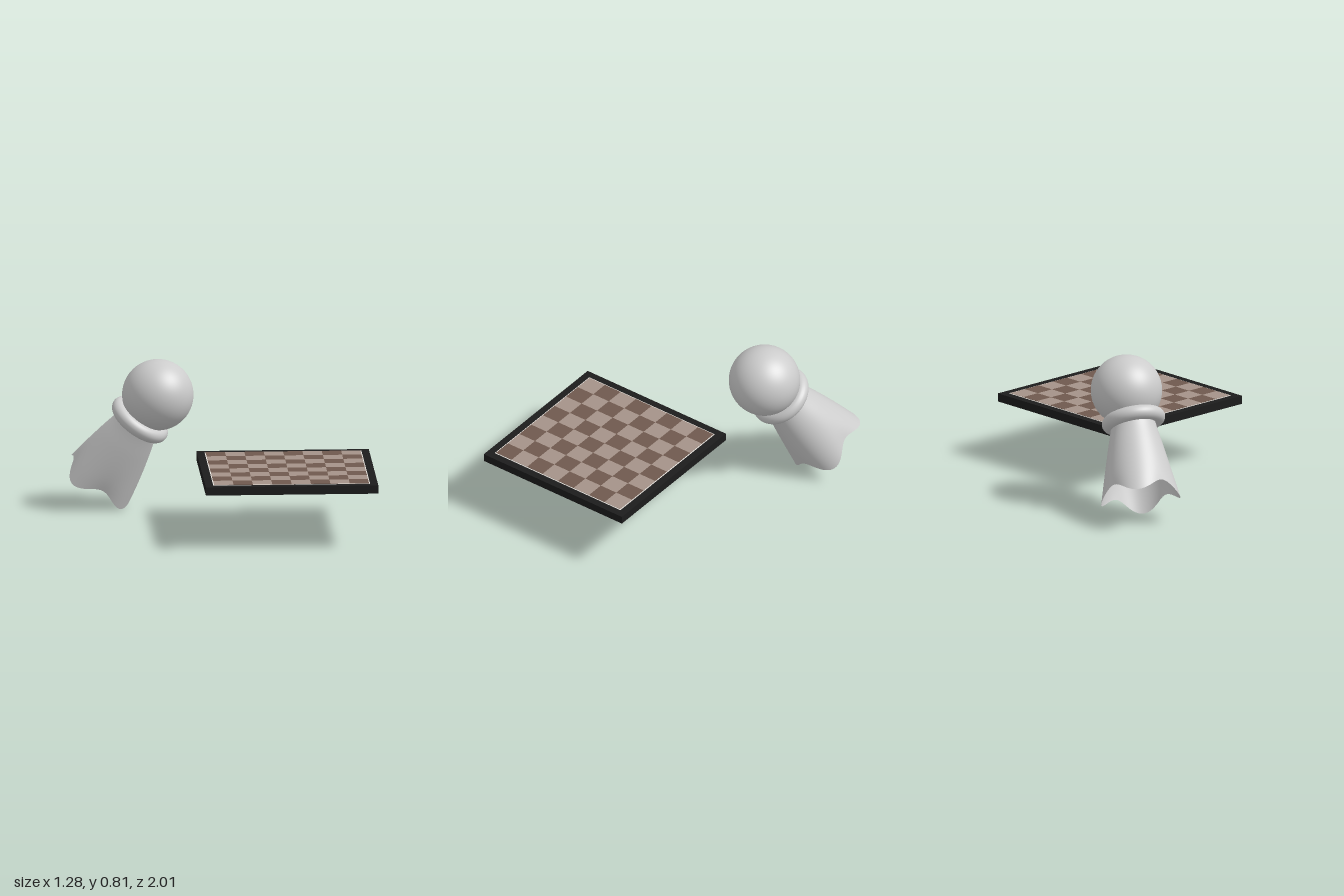
import * as THREE from 'three';
import { mergeVertices } from 'three/addons/utils/BufferGeometryUtils.js';

const mat = (name, color, side = THREE.FrontSide) => {
  const m = new THREE.MeshStandardMaterial({ color, side });
  m.name = name;
  return m;
};

function part(parent, name, geometry, material, x = 0, y = 0, z = 0) {
  const mesh = new THREE.Mesh(geometry, material);
  mesh.name = name;
  mesh.position.set(x, y, z);
  parent.add(mesh);
  return mesh;
}

// Flared open skirt hanging along -y, with a four-lobed wavy hem
function skirtGeometry() {
  const profile = new THREE.SplineCurve([
    [0.195, -0.415], [0.183, -0.34], [0.166, -0.25], [0.145, -0.15],
    [0.122, -0.05], [0.108, 0.03], [0.1, 0.08],
  ].map(([r, y]) => new THREE.Vector2(r, y)));
  let geo = new THREE.LatheGeometry(profile.getPoints(40), 96);
  geo.deleteAttribute('normal');
  geo.deleteAttribute('uv');
  const p = geo.attributes.position;
  for (let i = 0; i < p.count; i++) {
    const x = p.getX(i), y = p.getY(i), z = p.getZ(i);
    const w = Math.min(1, Math.max(0, -y / 0.415)) ** 3;
    const wave = Math.cos(4 * Math.atan2(x, z)) * w;
    const s = 1 + 0.07 * wave;
    p.setXYZ(i, x * s, y - 0.032 * wave, z * s);
  }
  geo = mergeVertices(geo, 1e-5);
  geo.computeVertexNormals();
  return geo;
}

export function createModel() {
  const model = new THREE.Group();
  model.name = 'pawnAndBoard';
  const black = mat('frameBlack', 0x1c1c1c);
  const cream = mat('borderCream', 0xe6e2dc);
  const light = mat('lightTile', 0xa59389);
  const dark = mat('darkTile', 0x6f594e);
  const grey = mat('pawnGrey', 0xcccccc, THREE.DoubleSide);

  // Board, turned corner-on
  const board = new THREE.Group();
  board.name = 'board';
  board.position.set(0, 0.297, 0.36);
  board.rotation.y = Math.PI / 4;
  model.add(board);
  part(board, 'frame', new THREE.BoxGeometry(0.904, 0.044, 0.904), black, 0, 0.022, 0);
  part(board, 'border', new THREE.BoxGeometry(0.822, 0.002, 0.822), cream, 0, 0.0445, 0);
  const size = 0.1015;
  const tile = new THREE.BoxGeometry(size, 0.002, size);
  for (let i = 0; i < 8; i++) {
    for (let j = 0; j < 8; j++) {
      part(board, 'tile', tile, (i + j) % 2 ? dark : light, (i - 3.5) * size, 0.046, (j - 3.5) * size);
    }
  }

  // Leaning pawn: head, collar and skirt
  const pawn = new THREE.Group();
  pawn.name = 'pawn';
  model.add(pawn);
  const down = new THREE.Vector3(0, -1, 0);
  const lean = (mesh, x, y, z) =>
    mesh.quaternion.setFromUnitVectors(down, new THREE.Vector3(x, y, z).normalize());
  part(pawn, 'head', new THREE.SphereGeometry(0.187, 64, 40), grey, -0.063, 0.622, -0.493);
  const ring = new THREE.TorusGeometry(0.13, 0.038, 24, 80).rotateX(Math.PI / 2);
  lean(part(pawn, 'collar', ring, grey, -0.103, 0.483, -0.582), -0.2, -0.81, -0.56);
  lean(part(pawn, 'skirt', skirtGeometry(), grey, -0.1, 0.483, -0.583), -0.112, -0.814, -0.568);
  return model;
}
